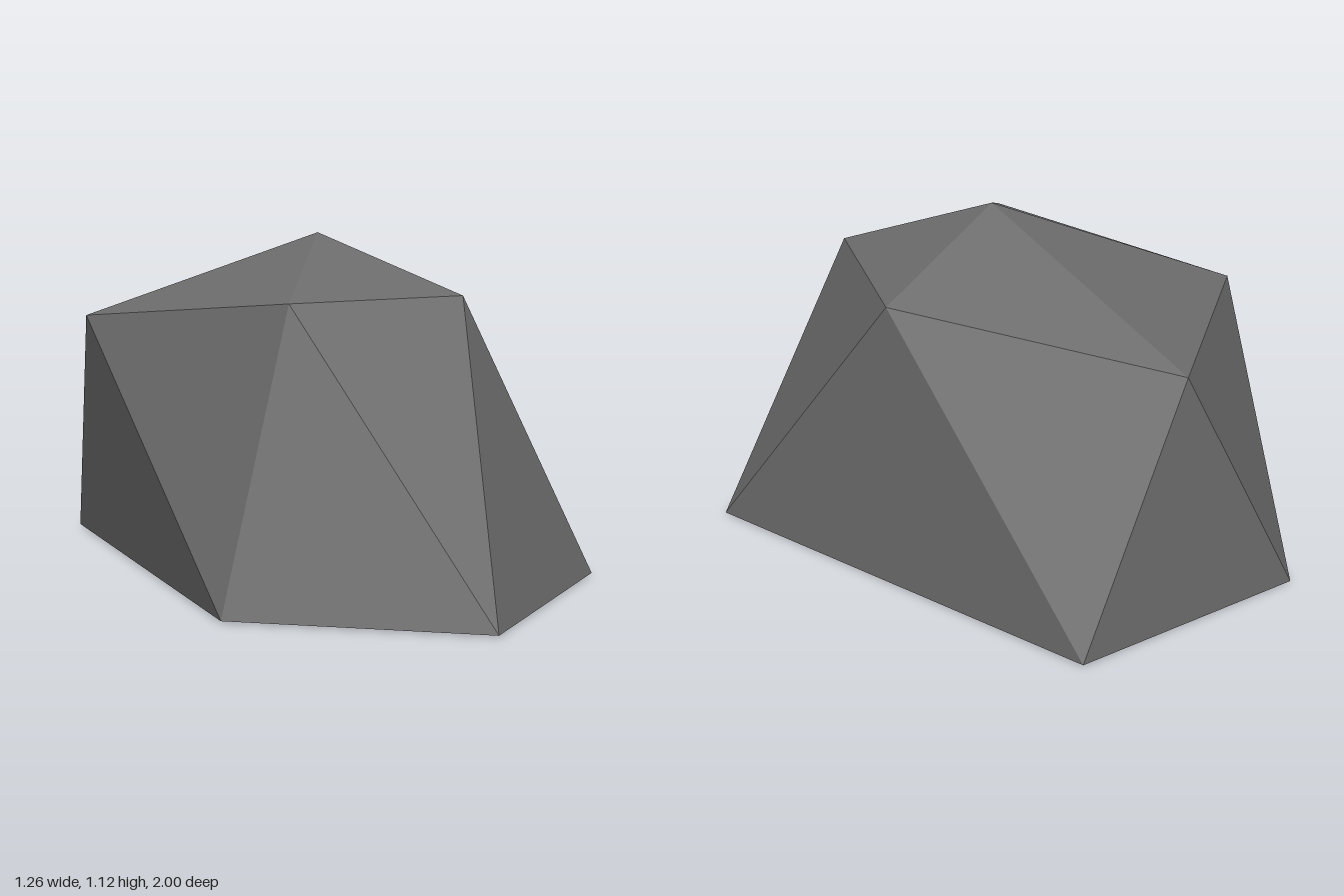
import * as THREE from 'three';

// Rock built from two rings of five corners, an apex and a base centre
const APEX = [0.065, 1.117, 0.03];
const BASE = [0.065, 0, 0.03];
const UPPER = [
  [-0.35, 0.933, 0.33], [0.225, 0.933, 0.52], [0.58, 0.933, 0.03],
  [0.225, 0.81, -0.815], [-0.455, 0.84, -0.535],
];
const LOWER = [
  [-0.63, 0.006, 0.33], [-0.15, 0.006, 1], [0.63, 0.006, 0.745],
  [0.63, 0.006, -0.745], [-0.15, 0.006, -1],
];

function rockGeometry() {
  const corners = [];
  for (let i = 0; i < 5; i++) {
    const j = (i + 1) % 5;
    corners.push(
      APEX, UPPER[i], UPPER[j],          // cap
      LOWER[i], LOWER[j], UPPER[i],      // side, pointing up
      UPPER[i], LOWER[j], UPPER[j],      // side, pointing down
      BASE, LOWER[j], LOWER[i],          // underside
    );
  }
  const geometry = new THREE.BufferGeometry();
  geometry.setAttribute('position', new THREE.Float32BufferAttribute(corners.flat(), 3));
  geometry.computeVertexNormals(); // unshared corners keep every facet flat
  return geometry;
}

export function createModel() {
  const stone = new THREE.MeshStandardMaterial({ color: 0x6b6b6b });
  stone.name = 'stone grey';
  stone.flatShading = true;
  const rock = new THREE.Mesh(rockGeometry(), stone);
  rock.name = 'rock';
  const model = new THREE.Group();
  model.name = 'boulder';
  model.add(rock);
  return model;
}
